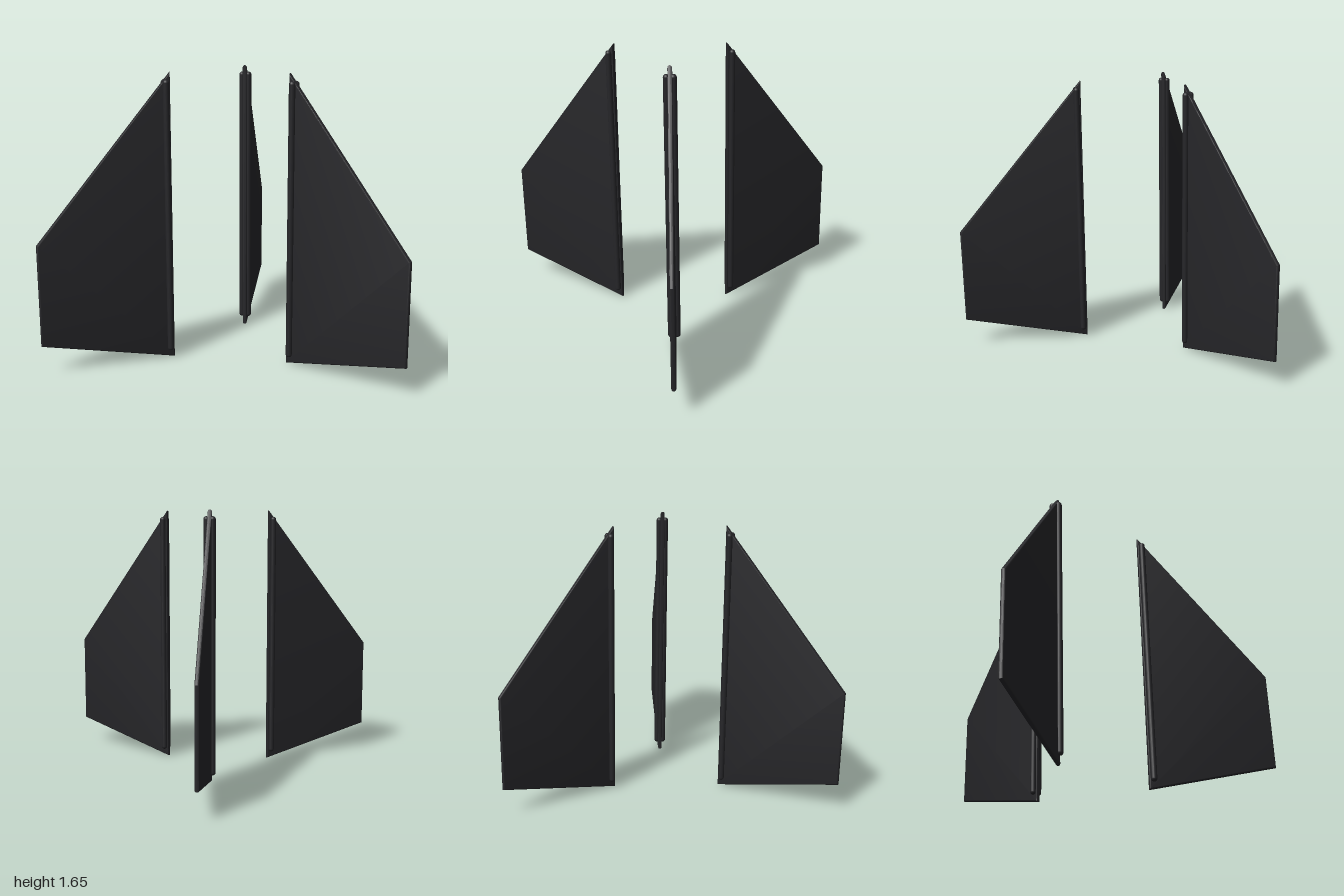
import * as THREE from 'three';
import { toCreasedNormals } from 'three/addons/utils/BufferGeometryUtils.js';

const THICK = 0.026;     // plate thickness
const AXIS_Z = 0.28;     // z of the axis the fins are arranged around

export function createModel() {
  const model = new THREE.Group();
  model.name = 'finSet';
  const material = new THREE.MeshStandardMaterial({ color: 0x252528 });

  // Plate outline: x is the distance from the axis, y is the height
  const outline = new THREE.Shape([
    [0.382, 0], [1.147, 0.17], [1.147, 0.745], [0.382, 1.655],
  ].map(([r, y]) => new THREE.Vector2(r, y)));

  // Thin plate with rounded edges
  const bevel = 0.011;
  const depth = THICK - 2 * bevel;
  const extruded = new THREE.ExtrudeGeometry(outline, {
    depth, bevelEnabled: true, bevelThickness: bevel,
    bevelSize: bevel, bevelOffset: -bevel, bevelSegments: 4,
  });
  extruded.translate(0, 0, -depth / 2);
  const plateGeometry = toCreasedNormals(extruded, Math.PI / 5);

  // Round-ended rod running beside the inner edge
  const railRadius = 0.018, railBottom = 0.045, railTop = 1.615;
  const railGeometry = new THREE.CapsuleGeometry(
    railRadius, railTop - railBottom - 2 * railRadius, 6, 16);
  railGeometry.translate(0.409, (railTop + railBottom) / 2, 0);

  // Three fins, one pointing to the back
  ['backFin', 'rightFin', 'leftFin'].forEach((name, i) => {
    const fin = new THREE.Group();
    fin.name = name;
    const plate = new THREE.Mesh(plateGeometry, material);
    plate.name = 'finPlate';
    fin.add(plate);
    for (const side of [-1, 1]) {
      const rail = new THREE.Mesh(railGeometry, material);
      rail.name = 'mountingRail';
      rail.position.z = side * 0.019;
      fin.add(rail);
    }
    fin.position.z = AXIS_Z;
    fin.rotation.y = Math.PI / 2 + i * Math.PI * 2 / 3;
    model.add(fin);
  });
  return model;
}
